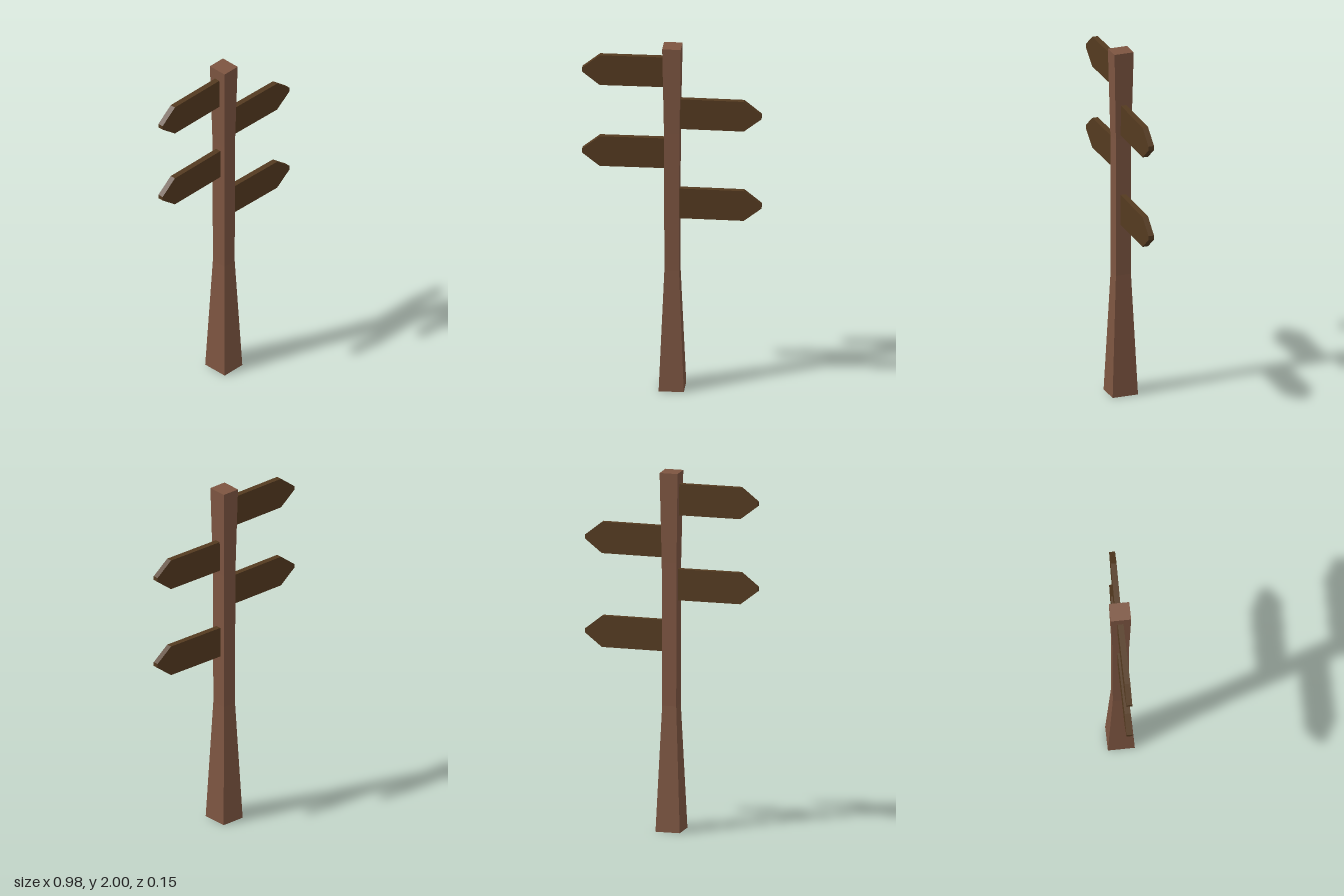
import * as THREE from 'three';

const postMaterial = new THREE.MeshStandardMaterial({ color: 0x7d5541, flatShading: true });
const boardMaterial = new THREE.MeshStandardMaterial({ color: 0x543a20, flatShading: true });

// Square post: each ring is [height, half width, half depth]
function makePost() {
  const rings = [[0, 0.069, 0.074], [0.7, 0.04, 0.044], [1.5, 0.042, 0.045], [2, 0.051, 0.056]];
  const geometry = new THREE.BoxGeometry(2, 1, 2, 1, rings.length - 1, 1);
  const p = geometry.attributes.position;
  for (let i = 0; i < p.count; i++) {
    const [y, w, d] = rings[Math.round((p.getY(i) + 0.5) * (rings.length - 1))];
    p.setXYZ(i, p.getX(i) * w + 0.002, y, p.getZ(i) * d);
  }
  const post = new THREE.Mesh(geometry, postMaterial);
  post.name = 'post';
  return post;
}

// Pointed board with a blunt tip, reaching out along +x from inside the post
function makeBoardGeometry() {
  const thickness = 0.032;
  const shape = new THREE.Shape();
  [[0, -0.087], [0.395, -0.087], [0.491, -0.012], [0.491, 0.011], [0.395, 0.087], [0, 0.087]]
    .forEach(([x, y], i) => (i ? shape.lineTo(x, y) : shape.moveTo(x, y)));
  return new THREE.ExtrudeGeometry(shape, { depth: thickness, bevelEnabled: false })
    .translate(0, 0, -thickness / 2);
}

export function createModel() {
  const model = new THREE.Group();
  model.name = 'signpost';
  model.add(makePost());

  // Boards alternate sides; the left ones are turned slightly forward
  const geometry = makeBoardGeometry();
  [1.849, 1.608, 1.374, 1.084].forEach((y, i) => {
    const left = i % 2 === 1;
    const board = new THREE.Mesh(geometry, boardMaterial);
    board.name = left ? 'leftSignBoard' : 'rightSignBoard';
    board.position.set(0, y, left ? 0 : -0.002);
    board.rotation.y = left ? -0.02 : Math.PI;
    model.add(board);
  });
  return model;
}
